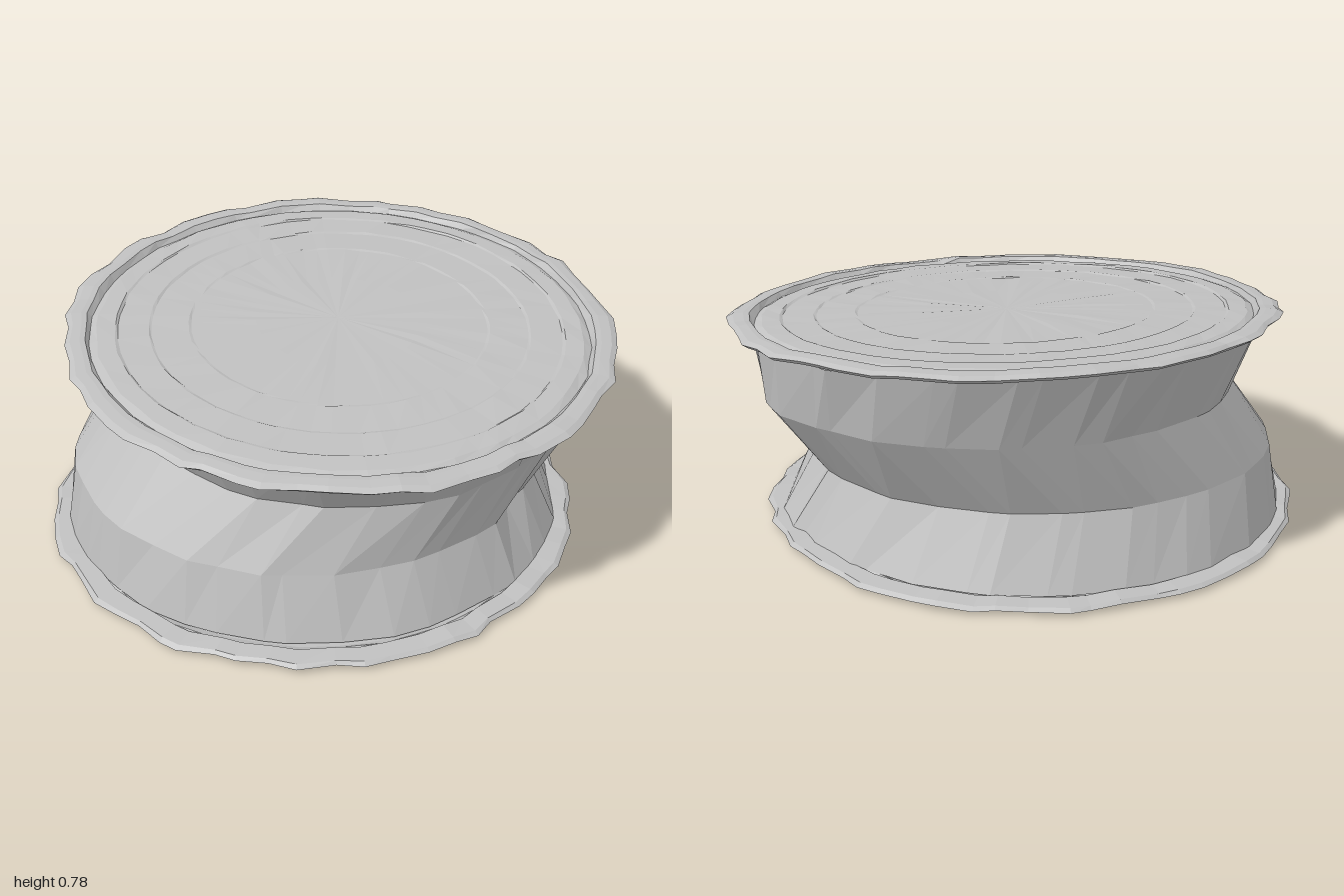
import * as THREE from 'three';

// Repeatable noise in -1..1 from two integers
function noise(i, k) {
  const s = Math.sin(i * 127.1 + k * 311.7) * 43758.5453;
  return (s - Math.floor(s)) * 2 - 1;
}

// One crumpled ring: centre cx, cz; radii rx, rz; height y with slopes sx, sz;
// jit moves points in and out, crush adds to it on the dented +x side,
// lift moves points up and down, skew and turn shift their angles.
function ringPoints(n, o) {
  const pts = [];
  for (let i = 0; i < n; i++) {
    const a = ((i + o.skew * noise(i, o.angleSeed)) / n) * Math.PI * 2 + (o.turn || 0);
    const dent = (o.crush || 0) * Math.max(0, Math.sin(a));
    const k = 1 + (o.jit + dent) * noise(i, o.seed);
    const x = o.cx + Math.sin(a) * o.rx * k;
    const z = o.cz + Math.cos(a) * o.rz * k;
    const y = o.y + (o.sx || 0) * x + (o.sz || 0) * z + (o.lift || 0) * noise(i, o.seed + 9);
    pts.push([x, y, z]);
  }
  return pts;
}

// Skin between rings, listed so that the faces look outwards
function skin(rings) {
  const pos = [];
  const n = rings[0].length;
  for (let r = 0; r < rings.length - 1; r++) {
    const lo = rings[r], hi = rings[r + 1];
    for (let i = 0; i < n; i++) {
      const j = (i + 1) % n;
      pos.push(...lo[i], ...lo[j], ...hi[j], ...lo[i], ...hi[j], ...hi[i]);
    }
  }
  const g = new THREE.BufferGeometry();
  g.setAttribute('position', new THREE.Float32BufferAttribute(pos, 3));
  g.computeVertexNormals();
  return g;
}

export function createModel() {
  const model = new THREE.Group();
  model.name = 'crushedCan';
  const metal = new THREE.MeshStandardMaterial({ color: 0xc0c0c0, flatShading: true, side: THREE.DoubleSide });
  metal.name = 'dull metal';

  const add = (name, geometry) => {
    const mesh = new THREE.Mesh(geometry, metal);
    mesh.name = name;
    model.add(mesh);
  };

  // Buckled wall: foot, lower crease, upper crease, head
  const wall = [
    { cx: -0.055, cz: 0.005, rx: 0.89, rz: 0.855, y: 0.03, jit: 0.007, crush: 0.008, seed: 3 },
    { cx: -0.09, cz: 0.015, rx: 0.813, rz: 0.775, y: 0.255, sx: -0.01, sz: -0.012, jit: 0.01, crush: 0.014, seed: 4, turn: 0.02 },
    { cx: 0.073, cz: -0.07, rx: 0.815, rz: 0.79, y: 0.49, sx: -0.005, sz: -0.032, jit: 0.01, crush: 0.014, seed: 5, turn: -0.02 },
    { cx: 0.035, cz: -0.045, rx: 0.87, rz: 0.885, y: 0.707, sx: -0.02, sz: -0.05, jit: 0.007, crush: 0.008, seed: 6 }
  ].map(o => ringPoints(42, { ...o, skew: 0.45, angleSeed: 2 }));
  add('wall', skin(wall));

  // Lid profile: radius fraction, height above the lid plane, wobble
  const lidProfile = [
    [0.91, -0.016, 0.006], [0.975, -0.012, 0.012], [0.99, 0, 0.016], [0.97, 0.010, 0.012],
    [0.935, 0.013, 0.008], [0.915, 0.012, 0.006], [0.9, -0.006, 0.006], [0.875, 0.004, 0.005],
    [0.81, 0.007, 0.004], [0.8, 0.002, 0.004], [0.69, 0.004, 0.003], [0.68, 0, 0.003],
    [0.545, 0.003, 0.003], [0.535, 0.001, 0.003], [0.3, 0.002, 0.002], [0.0005, 0.002, 0]
  ];

  // Both lids share the profile; the lower one is mirrored downwards
  const lid = (o, flip, seed) => {
    const rings = lidProfile.map(([f, h, jit], k) => {
      const t = 1 - f; // inner rings drift away from the rim's centre
      return ringPoints(60, {
        ...o, cx: o.cx + t * o.driftX, cz: o.cz + t * o.driftZ,
        rx: o.r * f, rz: o.rz * f, y: o.y + h * flip * o.depth,
        jit, lift: f > 0.1 ? (f > 0.9 ? 0.004 : 0.0018) : 0,
        skew: 0.25, angleSeed: 7, seed: f > 0.9 ? seed : seed + k
      });
    });
    return skin(flip > 0 ? rings : rings.reverse());
  };
  add('topLid', lid({
    cx: 0.045, cz: -0.008, r: 0.957, rz: 0.968, y: 0.726, sx: -0.02, sz: -0.05,
    driftX: -0.01, driftZ: -0.04, depth: 1
  }, 1, 11));
  add('bottomLid', lid({
    cx: -0.053, cz: 0.013, r: 0.95, rz: 0.968, y: 0.023,
    driftX: 0, driftZ: 0, depth: 0.9
  }, -1, 31));

  return model;
}
